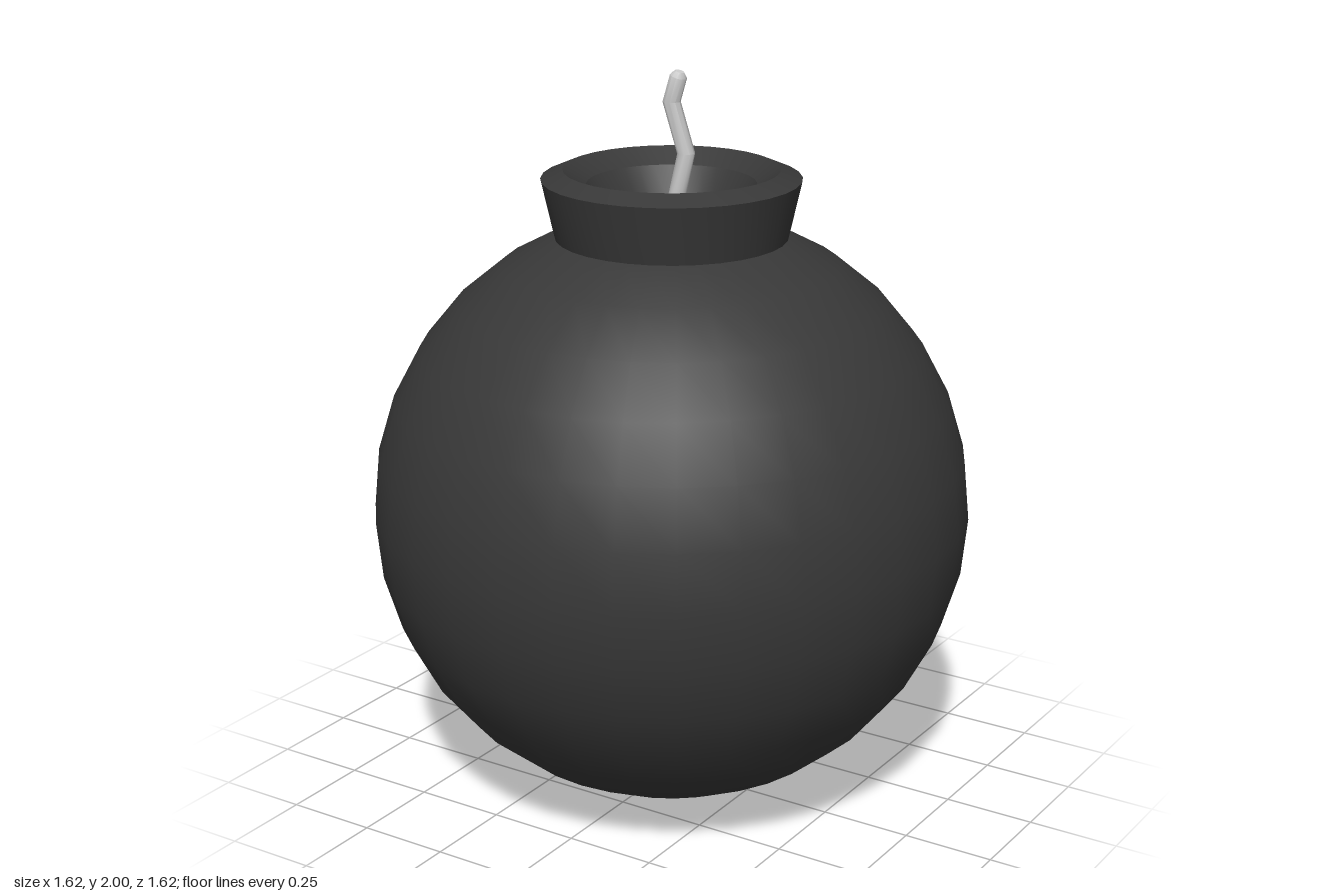
import * as THREE from 'three';
import { toCreasedNormals } from 'three/addons/utils/BufferGeometryUtils.js';

const R = 0.81; // ball radius
const SIDES = 32;

// Lofts a round rod through points in the xy plane, with mitred bends: [x, y, radius]
function bentRod(points, sides) {
  const positions = [], index = [];
  const last = points.length - 1;
  const heading = (a, b) => new THREE.Vector2(b[0] - a[0], b[1] - a[1]).normalize();
  points.forEach(([x, y, r], i) => {
    const before = heading(points[Math.max(i - 1, 0)], points[Math.max(i, 1)]);
    const after = heading(points[Math.min(i, last - 1)], points[Math.min(i + 1, last)]);
    const along = before.clone().add(after).normalize();
    const stretch = r / along.dot(after);
    for (let s = 0; s < sides; s++) {
      const a = (s / sides) * Math.PI * 2;
      const c = Math.cos(a) * stretch;
      positions.push(x + along.y * c, y - along.x * c, Math.sin(a) * r);
    }
  });
  for (let i = 0; i < last; i++) {
    for (let s = 0; s < sides; s++) {
      const a = i * sides + s, b = i * sides + ((s + 1) % sides);
      index.push(a, a + sides, b, b, a + sides, b + sides);
    }
  }
  // Tip cap
  for (let s = 1; s < sides - 1; s++) {
    index.push(last * sides, last * sides + s + 1, last * sides + s);
  }
  const geometry = new THREE.BufferGeometry();
  geometry.setAttribute('position', new THREE.Float32BufferAttribute(positions, 3));
  geometry.setIndex(index);
  return toCreasedNormals(geometry, 0.75);
}

export function createModel() {
  const model = new THREE.Group();
  model.name = 'roundBomb';
  const black = new THREE.MeshStandardMaterial({ color: 0x383838 });
  const grey = new THREE.MeshStandardMaterial({ color: 0xcccccc });

  const add = (name, geometry, material) => {
    const mesh = new THREE.Mesh(geometry, material);
    mesh.name = name;
    model.add(mesh);
    return mesh;
  };

  // Round body
  add('body', new THREE.SphereGeometry(R, SIDES, SIDES / 2), black).position.y = R;

  // Flared collar with a bevelled rim and a funnel running down to the body
  const profile = [
    [0.31, 1.558], [0.345, 1.715], [0.287, 1.74], [0.225, 1.7], [0.158, 1.604],
  ].map(([r, y]) => new THREE.Vector2(r, y));
  add('collar', toCreasedNormals(new THREE.LatheGeometry(profile, SIDES), 0.3), black);

  // Crooked fuse with a slightly rounded tip
  const fuse = [
    [0, 1.6, 0.023], [0.045, 1.785, 0.023], [0, 1.917, 0.023],
    [0.021, 1.985, 0.023], [0.025, 1.998, 0.012],
  ];
  add('fuse', bentRod(fuse, 10), grey);

  return model;
}
